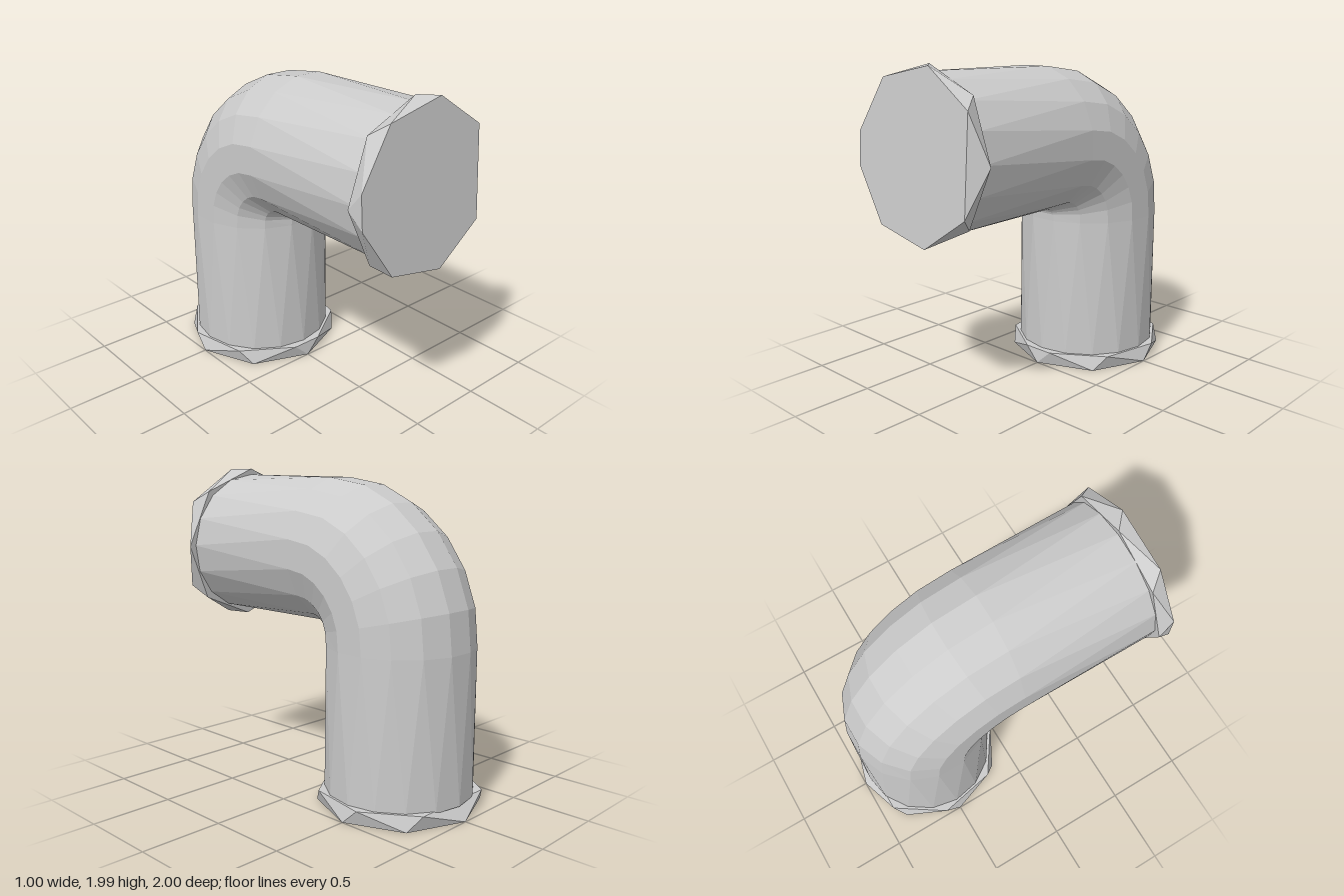
import * as THREE from 'three';

const material = new THREE.MeshStandardMaterial({ color: 0xcccccc, flatShading: true, side: THREE.DoubleSide });

// Joins neighbouring rings (equal point counts) with a zigzag of triangles
function skin(rings, capped) {
  const pos = [];
  const tri = (...pts) => pts.forEach((p) => pos.push(p.x, p.y, p.z));
  for (let k = 0; k < rings.length - 1; k++) {
    const a = rings[k], b = rings[k + 1], n = a.length;
    for (let i = 0; i < n; i++) {
      const j = (i + 1) % n;
      tri(a[i], a[j], b[i]);
      tri(b[i], a[j], b[j]);
    }
  }
  if (capped) {
    const a = rings[0], b = rings[rings.length - 1];
    for (let i = 1; i < a.length - 1; i++) {
      tri(a[0], a[i + 1], a[i]);
      tri(b[0], b[i], b[i + 1]);
    }
  }
  const geo = new THREE.BufferGeometry();
  geo.setAttribute('position', new THREE.Float32BufferAttribute(pos, 3));
  geo.computeVertexNormals();
  return geo;
}

// Pipe cross-section; turn is the angle along the elbow, lean tilts the end cut
function pipeRing(turn, y, z, r, phase, lean = 0) {
  const sides = 16;
  return Array.from({ length: sides }, (_, i) => {
    const a = ((i + phase) / sides) * Math.PI * 2;
    const out = r * Math.cos(a);
    const py = y + out * Math.cos(turn);
    return new THREE.Vector3(r * Math.sin(a), py, z - out * Math.sin(turn) - lean * (py - y));
  });
}

// Faceted collar: a regular octagon joined to a skewed one
function collarGeometry() {
  const half = [11.5, 56, 101.5, 146];
  const skewed = [...half, ...half.map((d) => 360 - d).reverse()];
  const regular = skewed.map((_, i) => i * 45);
  const ring = (angles, y, r) => angles.map((d) => {
    const a = THREE.MathUtils.degToRad(d);
    return new THREE.Vector3(r * Math.sin(a), y, r * Math.cos(a));
  });
  return skin([ring(regular, 0, 0.5), ring(skewed, 0.092, 0.5)], true);
}

export function createModel() {
  const group = new THREE.Group();
  const add = (name, geo) => {
    const mesh = new THREE.Mesh(geo, material);
    mesh.name = name;
    group.add(mesh);
    return mesh;
  };

  // Elbow pipe: level run, quarter bend, upright run
  const lean = 0.067;
  const rings = [pipeRing(0, 1.495, 0.89, 0.455, 0, lean)];
  for (const deg of [0, 17, 32, 47, 62, 77, 90]) {
    const t = THREE.MathUtils.degToRad(deg);
    const drop = deg === 90 ? 0.03 : 0;
    rings.push(pipeRing(t, 1 + 0.497 * Math.cos(t) - drop, -0.497 * Math.sin(t), 0.45, 0.5));
  }
  rings.push(pipeRing(Math.PI / 2, 0.08, -0.5, 0.455, 1));
  add('elbowPipe', skin(rings, false));

  // Collars closing both ends
  const collar = collarGeometry();
  add('baseCollar', collar).position.set(0, 0, -0.5);

  const front = add('frontCollar', collar);
  const axis = new THREE.Vector3(0, lean, 1).normalize();
  const down = new THREE.Vector3(0, -axis.z, axis.y);
  front.quaternion.setFromRotationMatrix(
    new THREE.Matrix4().makeBasis(down, axis, new THREE.Vector3(-1, 0, 0)));
  front.position.set(0, 1.49, 0.877);

  return group;
}
